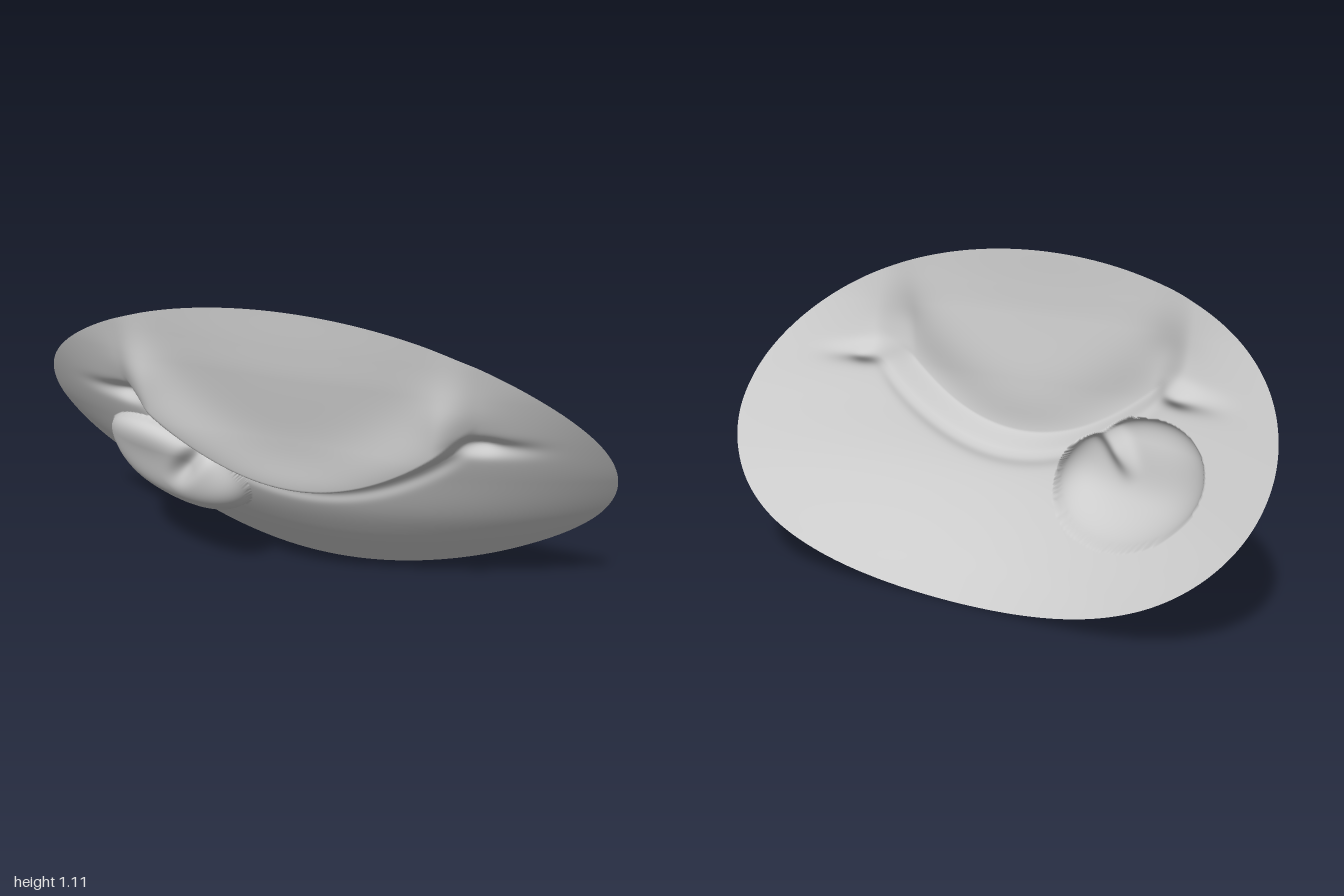
import * as THREE from 'three';

const HALF_H = 0.5525, RINGS = 140, SEGS = 420;
const smooth = (v, a, b) => THREE.MathUtils.smoothstep(v, a, b);
const bell = (v, w) => Math.exp(-(v * v) / (w * w));

// profiles up the middle of the face: depth, and how strongly it curves back to the sides
const heights = [0, 0.07, 0.14, 0.25, 0.37, 0.55, 0.66, 0.88, 0.98, 1.105];
const depths = [-0.235, -0.165, -0.095, 0, 0.085, 0.17, 0.215, 0.262, 0.272, 0.28];
const bends = [0.47, 0.44, 0.42, 0.37, 0.32, 0.253, 0.223, 0.14, 0.104, 0.07];
const depthAt = new THREE.CubicInterpolant(heights, depths, 1);
const bendAt = new THREE.CubicInterpolant(heights, bends, 1);

// signed distance above the smile line
function aboveSmile(x, y) {
  return (y - 0.44 - 0.85 * x * x) / Math.hypot(1, 1.7 * x);
}

// upper lip that stands proud along the smile
function lip(x, y) {
  const t = aboveSmile(x, y);
  const side = 1 - smooth(Math.abs(x), 0.47, 0.61);
  return side * (0.08 * smooth(t, -0.005, 0.04) * bell(Math.max(t, 0), 0.16) - 0.012 * bell(t + 0.022, 0.025));
}

// pinched corners of the mouth, with a slight cheek above each
function corners(x, y) {
  const ax = Math.abs(x);
  return -0.035 * bell(ax - 0.6, 0.06) * bell(y - 0.705, 0.03)
    - 0.015 * bell(ax - 0.68, 0.09) * bell(y - 0.7, 0.03)
    + 0.012 * bell(ax - 0.54, 0.1) * bell(y - 0.82, 0.08);
}

// puffed tongue hanging from the right half of the smile
function tongue(x, y) {
  const dx = x + 0.48, dy = y - 0.425, c = Math.cos(0.25), s = Math.sin(0.25);
  const u = (dx * c - dy * s) / 0.285, v = (dx * s + dy * c) / 0.185;
  const r = u * u + v * v;
  if (r >= 1) return 0;
  // groove down the middle, running out towards the tip
  const across = (x + 0.36) * 0.79 - (y - 0.51) * 0.61;
  const along = -(x + 0.36) * 0.61 - (y - 0.51) * 0.79;
  const groove = 0.04 * bell(across, 0.035) * (1 - smooth(along, 0.03, 0.17));
  const dome = 0.14 * Math.sqrt(1 - r * r) * (1 - 0.3 * smooth(y, 0.33, 0.52));
  return Math.max(0, dome - groove) * (1 - smooth(aboveSmile(x, y), 0, 0.035));
}

function surface(x, y) {
  const base = depthAt.evaluate(y)[0] - bendAt.evaluate(y)[0] * x * x;
  return base + Math.max(lip(x, y), tongue(x, y) || -1) + corners(x, y);
}

export function createModel() {
  // oval sheet built in rings from its middle
  const positions = [0, HALF_H, surface(0, HALF_H)], index = [];
  for (let i = 1; i <= RINGS; i++) {
    for (let j = 0; j < SEGS; j++) {
      const a = (j / SEGS) * Math.PI * 2, r = i / RINGS;
      const x = r * Math.cos(a), y = HALF_H + r * HALF_H * Math.sin(a);
      positions.push(x, y, surface(x, y));
      const k = (j + 1) % SEGS, outer = 1 + (i - 1) * SEGS, inner = outer - SEGS;
      if (i === 1) index.push(0, outer + j, outer + k);
      else index.push(inner + j, outer + j, outer + k, inner + j, outer + k, inner + k);
    }
  }
  const geometry = new THREE.BufferGeometry();
  geometry.setAttribute('position', new THREE.Float32BufferAttribute(positions, 3));
  geometry.setIndex(index);
  geometry.computeVertexNormals();

  const face = new THREE.Mesh(geometry, new THREE.MeshStandardMaterial({ color: 0xcccccc, side: THREE.DoubleSide }));
  face.name = 'smilingMouthWithTongue';
  const model = new THREE.Group();
  model.name = 'mouthSheet';
  model.add(face);
  return model;
}
